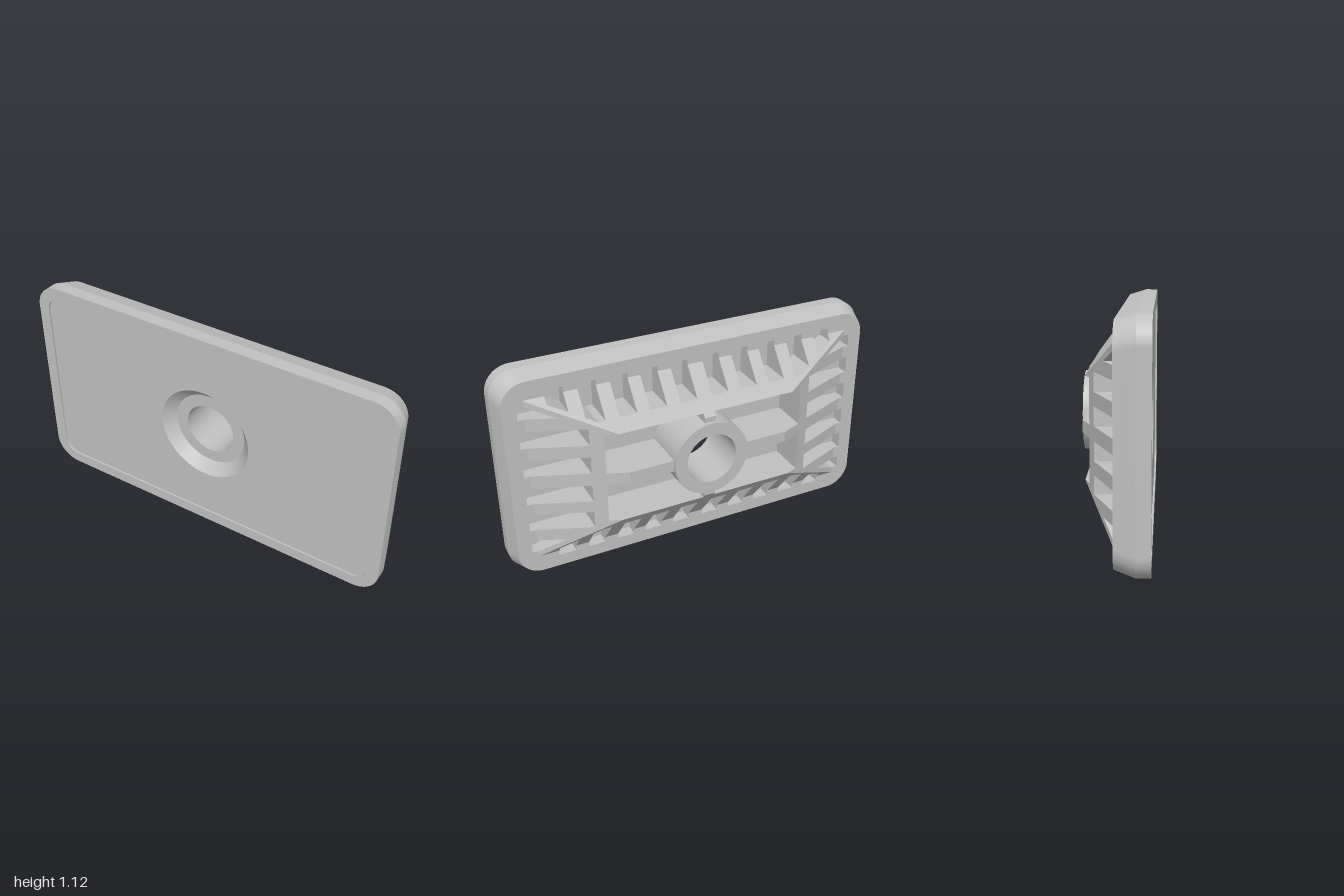
import * as THREE from 'three';
import { toCreasedNormals } from 'three/addons/utils/BufferGeometryUtils.js';

const HX = 1, HY = 0.5625;             // half size of the plate
const FLOOR = 0.08, RIM = 0.015;       // z of the pocket floor and of the rear rim

// One sloped side of the rear frame: T half length, U distance of its foot from the centre
const sides = {
  x: { T: 0.4425, U: 0.87, out: 0.9, slotEnd: 0.6, top: 0.47, topT: 0.245, margin: 0.03,
    centres: [0.08, 0.235, 0.39], inner: [[0.245, 0.535], [-0.245, 0.535]] },
  y: { T: 0.87, U: 0.4425, out: 0.47, slotEnd: 0.305, top: 0.245, topT: 0.47, margin: 0.04,
    centres: [0.085, 0.245, 0.4, 0.56, 0.72], inner: [] },
};
for (const s of Object.values(sides)) {
  s.k = (s.T - s.topT) / (s.U - s.top);
  const half = s.centres.map(c => [c - 0.045, Math.min(c + 0.045, s.T - s.margin - 0.002)]);
  s.slots = [...half.map(([a, b]) => [-b, -a]).reverse(), ...half];
}

// How far a slot reaches inward at position t, stopped by the corner ridge
function slotReach(s, t) {
  return Math.max(s.slotEnd, s.U - (s.T - s.margin - Math.abs(t)) / s.k);
}

function roundedRect(inset, r) {
  const x = HX - inset, y = HY - inset, s = new THREE.Shape();
  s.absarc(x - r, y - r, r, 0, Math.PI / 2);
  s.absarc(-x + r, y - r, r, Math.PI / 2, Math.PI);
  s.absarc(-x + r, -y + r, r, Math.PI, Math.PI * 1.5);
  s.absarc(x - r, -y + r, r, Math.PI * 1.5, Math.PI * 2);
  s.closePath();
  return s;
}

// Extrude from zBack to zFront; zBack may be a rule of x and y
function slab(shape, zBack, zFront) {
  const g = new THREE.ExtrudeGeometry(shape, { depth: 1, bevelEnabled: false, curveSegments: 32 });
  const p = g.attributes.position;
  for (let i = 0; i < p.count; i++) {
    const back = typeof zBack === 'function' ? zBack(p.getX(i), p.getY(i)) : zBack;
    p.setZ(i, p.getZ(i) > 0.5 ? zFront : back);
  }
  g.computeVertexNormals();
  return g;
}

// Draw the outer edge in toward the rear
function taper(g) {
  const p = g.attributes.position;
  for (let i = 0; i < p.count; i++) {
    const x = p.getX(i), y = p.getY(i);
    if (Math.abs(x) < 0.91 && Math.abs(y) < 0.48) continue;
    const inset = 0.028 * (0.11 - p.getZ(i)) / (0.11 - RIM);
    p.setXY(i, x * (1 - inset / HX), y * (1 - inset / HY));
  }
  g.computeVertexNormals();
  return g;
}

// Opening in the rear rim, with a notch at each slot
function rimOpening() {
  const pts = [];
  const walk = (s, dir, place) => {
    const line = [[-s.T, s.U]];
    for (const [a, b] of s.slots) line.push([a, s.U], [a, s.out], [b, s.out], [b, s.U]);
    if (dir < 0) line.forEach(q => { q[0] *= -1; });
    line.forEach(([t, u]) => pts.push(place(t, u)));
  };
  walk(sides.x, 1, (t, u) => new THREE.Vector2(u, t));
  walk(sides.y, -1, (t, u) => new THREE.Vector2(t, u));
  walk(sides.x, -1, (t, u) => new THREE.Vector2(-u, t));
  walk(sides.y, 1, (t, u) => new THREE.Vector2(t, -u));
  return new THREE.Path(pts);
}

// Sloped frame side with ribs between its slots
function frameSide(axis, sign) {
  const s = sides[axis];
  const pts = [[-s.T, s.U]];
  const kink = s.T - s.margin - (s.U - s.slotEnd) * s.k;
  for (const [a, b] of s.slots) {
    pts.push([a, s.U], [a, slotReach(s, a)]);
    for (const q of [-kink, kink]) if (q > a && q < b) pts.push([q, s.slotEnd]);
    pts.push([b, slotReach(s, b)], [b, s.U]);
  }
  pts.push([s.T, s.U], [s.topT, s.top], ...s.inner, [-s.topT, s.top]);
  const shape = new THREE.Shape(pts.map(([t, u]) =>
    axis === 'x' ? new THREE.Vector2(u * sign, t) : new THREE.Vector2(t, u * sign)));
  const slope = (x, y) => RIM - 0.155 * (s.U - Math.abs(axis === 'x' ? x : y)) / (s.U - s.top);
  return slab(shape, slope, FLOOR);
}

// Web from the central tube to the frame, profile in distance and z
function web(profile, angle) {
  const g = new THREE.ExtrudeGeometry(
    new THREE.Shape(profile.map(([d, z]) => new THREE.Vector2(d, z))),
    { depth: 0.06, bevelEnabled: false });
  g.translate(0, 0, -0.03);
  g.rotateX(Math.PI / 2);
  g.rotateZ(angle);
  return g;
}

export function createModel() {
  const group = new THREE.Group();
  const grey = new THREE.MeshStandardMaterial({ color: 0xc0c0c0 });
  grey.name = 'light grey';
  const add = (name, g) => {
    const m = new THREE.Mesh(g, grey);
    m.name = name;
    m.position.y = HY;
    group.add(m);
  };

  // Plate, from the raised front border to the rear rim
  const border = roundedRect(0, 0.13);
  border.holes.push(roundedRect(0.06, 0.08));
  add('frontBorder', toCreasedNormals(slab(border, 0.165, 0.175), 0.25));

  const drilled = roundedRect(0, 0.13);
  drilled.holes.push(new THREE.Path().absarc(0, 0, 0.255, 0, Math.PI * 2));
  add('frontPanel', toCreasedNormals(slab(drilled, 0.11, 0.165), 0.25));
  add('pocketFloor', toCreasedNormals(taper(slab(drilled, FLOOR, 0.11)), 0.25));

  const rim = roundedRect(0, 0.13);
  rim.holes.push(rimOpening());
  add('rearRim', toCreasedNormals(taper(slab(rim, RIM, FLOOR)), 0.25));

  // Central tube with a countersunk front
  const tube = new THREE.LatheGeometry([
    [0.135, -0.175], [0.2, -0.175], [0.2, FLOOR], [0.255, FLOOR],
    [0.255, 0.165], [0.2, 0.11], [0.135, 0.11], [0.135, -0.175],
  ].map(([r, z]) => new THREE.Vector2(r, z)), 64);
  tube.rotateX(Math.PI / 2);
  add('centralTube', toCreasedNormals(tube, 0.4));

  // Ribbed frame and webs
  const longWeb = [[0.18, FLOOR], [0.18, -0.155], [0.43, -0.155], [0.535, -0.115], [0.535, FLOOR]];
  const shortWeb = [[0.18, FLOOR], [0.18, -0.155], [0.226, -0.155], [0.246, -0.139], [0.246, FLOOR]];
  for (const sign of [1, -1]) {
    add('ribbedEnd', frameSide('x', sign));
    add('ribbedLongSide', frameSide('y', sign));
    add('longWeb', web(longWeb, sign > 0 ? 0 : Math.PI));
    add('shortWeb', web(shortWeb, sign * Math.PI / 2));
  }
  return group;
}
